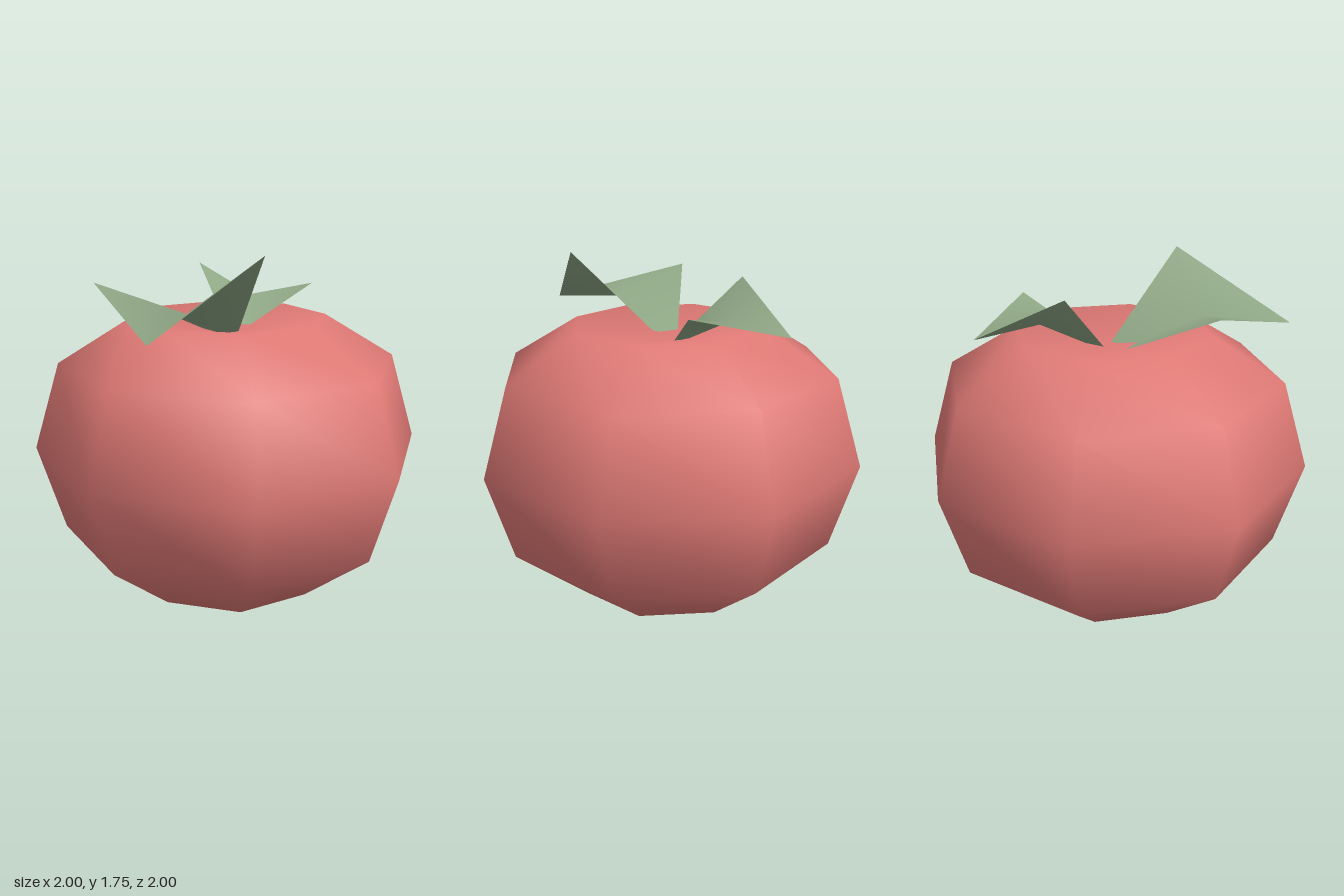
import * as THREE from 'three';
import { mergeVertices } from 'three/addons/utils/BufferGeometryUtils.js';

// Folded leaf: two raised sides around a sagging midrib
function makeLeaf(name, material, { base, mid, tip, back, front }) {
  const geometry = new THREE.BufferGeometry();
  geometry.setAttribute('position', new THREE.Float32BufferAttribute(
    [...base, ...back, ...tip, ...front, ...mid], 3));
  geometry.setIndex([0, 4, 1, 1, 4, 2, 2, 4, 3, 3, 4, 0]);
  // Keep the lit side facing up
  const p = (a) => new THREE.Vector3(...a);
  const up = p(mid).sub(p(base)).cross(p(back).sub(p(base))).y;
  if (up < 0) {
    const idx = Array.from(geometry.index.array);
    geometry.setIndex(idx.reverse());
  }
  geometry.computeVertexNormals();
  const mesh = new THREE.Mesh(geometry, material);
  mesh.name = name;
  return mesh;
}

export function createModel() {
  const group = new THREE.Group();
  group.name = 'fruit';

  const red = new THREE.MeshStandardMaterial({ color: 0xe07a76 });
  red.name = 'soft red';
  const green = new THREE.MeshStandardMaterial({ color: 0x90a886, side: THREE.DoubleSide });
  green.name = 'leaf green';

  // Eight-sided smooth body with dimpled poles
  const profile = [
    [0, 0.02], [0.5, 0], [0.866, 0.295], [1, 0.74],
    [0.866, 1.182], [0.5, 1.405], [0, 1.32],
  ].map(([r, y]) => new THREE.Vector2(r, y));
  let bodyGeometry = new THREE.LatheGeometry(profile, 8);
  bodyGeometry.deleteAttribute('normal');
  bodyGeometry.deleteAttribute('uv');
  bodyGeometry = mergeVertices(bodyGeometry, 1e-4);
  bodyGeometry.computeVertexNormals();
  const body = new THREE.Mesh(bodyGeometry, red);
  body.name = 'fruitBody';
  group.add(body);

  // Leaves rooted in the top dimple
  group.add(makeLeaf('largeLeaf', green, {
    base: [0.065, 1.26, -0.01],
    mid: [-0.43, 1.48, 0.09],
    tip: [-0.87, 1.42, 0.25],
    back: [-0.56, 1.6, -0.385],
    front: [-0.26, 1.753, 0.412],
  }));
  group.add(makeLeaf('smallLeaf', green, {
    base: [0.026, 1.29, 0],
    mid: [0.34, 1.457, -0.14],
    tip: [0.62, 1.417, -0.32],
    back: [0.165, 1.638, -0.33],
    front: [0.51, 1.533, 0.168],
  }));
  return group;
}
